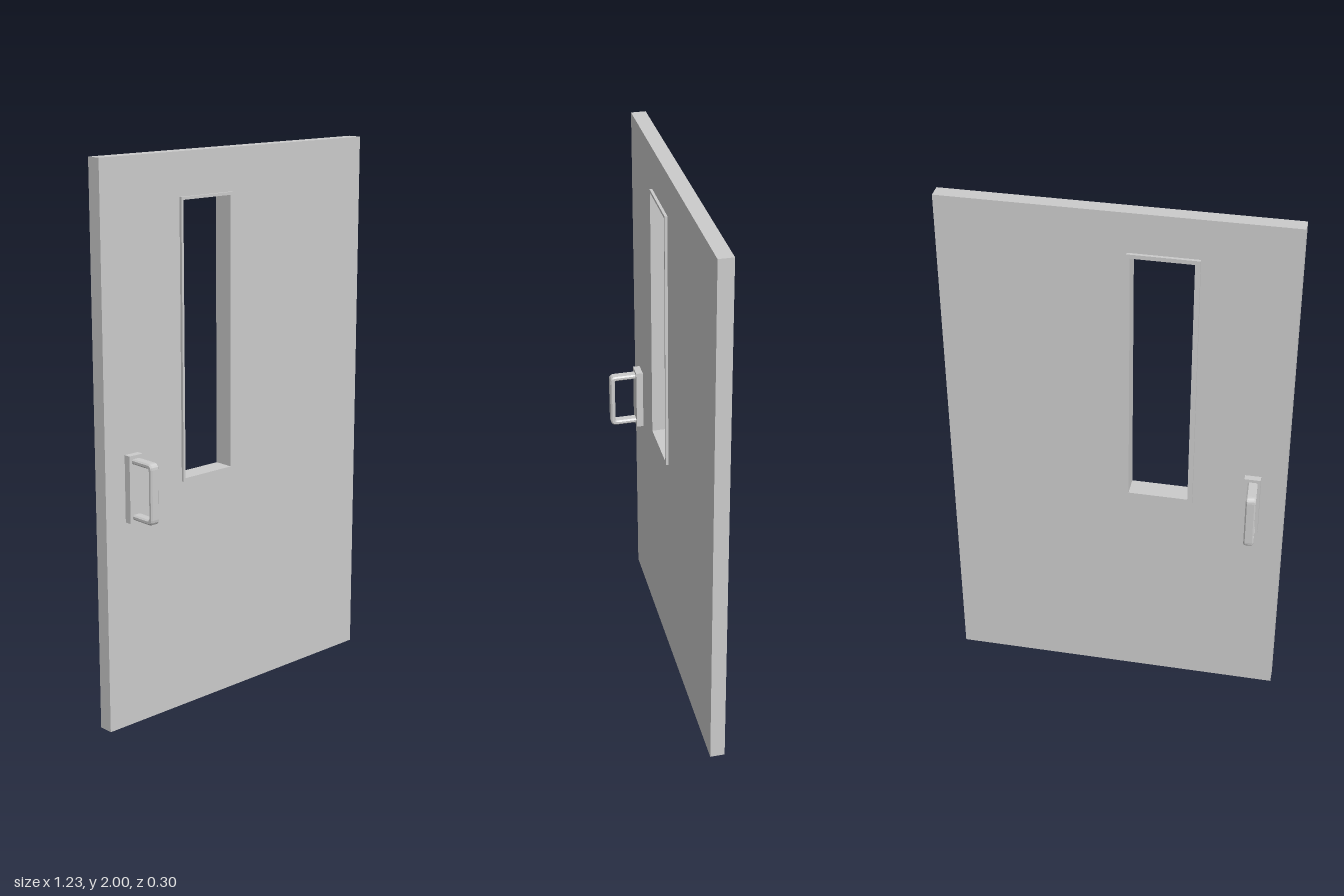
import * as THREE from 'three';

const material = new THREE.MeshStandardMaterial({ color: 0xcccccc, flatShading: true });

function rectPoints(x0, x1, y0, y1) {
  return [[x0, y0], [x1, y0], [x1, y1], [x0, y1]].map(([x, y]) => new THREE.Vector2(x, y));
}

// Rectangular slab with a rectangular hole, spanning z0..z1
function piercedSlab(name, outer, inner, z0, z1) {
  const shape = new THREE.Shape(rectPoints(...outer));
  shape.holes.push(new THREE.Path(rectPoints(...inner).reverse()));
  const geometry = new THREE.ExtrudeGeometry(shape, { depth: z1 - z0, bevelEnabled: false });
  geometry.translate(0, 0, z0);
  const mesh = new THREE.Mesh(geometry, material);
  mesh.name = name;
  return mesh;
}

// Mounting plate plus a chamfered U-shaped grip that projects along local +z
function createHandle(name, width, tilt) {
  const handle = new THREE.Group();
  handle.name = name;

  const plate = new THREE.Mesh(new THREE.BoxGeometry(width, 0.24, 0.027), material);
  plate.name = 'handlePlate';
  plate.position.z = 0.0115;
  handle.add(plate);

  // Side profile of the grip: x is distance from the door, y is height
  const reach = 0.125, half = 0.108, t = 0.018, r = 0.02, ri = 0.008;
  const s = new THREE.Shape();
  s.moveTo(0.01, -half);
  s.lineTo(reach - r, -half);
  s.quadraticCurveTo(reach, -half, reach, -half + r);
  s.lineTo(reach, half - r);
  s.quadraticCurveTo(reach, half, reach - r, half);
  s.lineTo(0.01, half);
  s.lineTo(0.01, half - t);
  s.lineTo(reach - t - ri, half - t);
  s.quadraticCurveTo(reach - t, half - t, reach - t, half - t - ri);
  s.lineTo(reach - t, -half + t + ri);
  s.quadraticCurveTo(reach - t, -half + t, reach - t - ri, -half + t);
  s.lineTo(0.01, -half + t);
  s.closePath();
  const bevel = 0.005, gripWidth = 0.036;
  const geometry = new THREE.ExtrudeGeometry(s, {
    depth: gripWidth - 2 * bevel, curveSegments: 4, bevelEnabled: true,
    bevelThickness: bevel, bevelSize: bevel, bevelOffset: -bevel, bevelSegments: 1,
  });
  geometry.translate(0, 0, -gripWidth / 2 + bevel);
  geometry.rotateY(-Math.PI / 2);
  const grip = new THREE.Mesh(geometry, material);
  grip.name = 'handleGrip';
  grip.rotation.y = tilt;
  handle.add(grip);
  return handle;
}

export function createModel() {
  const model = new THREE.Group();
  model.name = 'door';

  // Door leaf with the window opening
  model.add(piercedSlab('doorPanel', [-0.617, 0.617, 0, 2], [-0.272, -0.044, 0.855, 1.845], -0.03, 0.024));

  // Thin window surrounds, one on each face, lining the opening
  const opening = [-0.266, -0.049, 0.862, 1.838];
  model.add(piercedSlab('windowFrameFront', [-0.275, -0.04, 0.85, 1.848], opening, -0.003, 0.034));
  model.add(piercedSlab('windowFrameBack', [-0.284, -0.037, 0.845, 1.853], opening, -0.041, -0.003));

  // Pull handles on both faces
  const front = createHandle('frontHandle', 0.058, 0);
  front.position.set(-0.503, 0.876, 0.025);
  const back = createHandle('backHandle', 0.058, 0.06);
  back.position.set(-0.499, 0.876, -0.029);
  back.rotation.y = Math.PI;
  model.add(front, back);

  return model;
}
